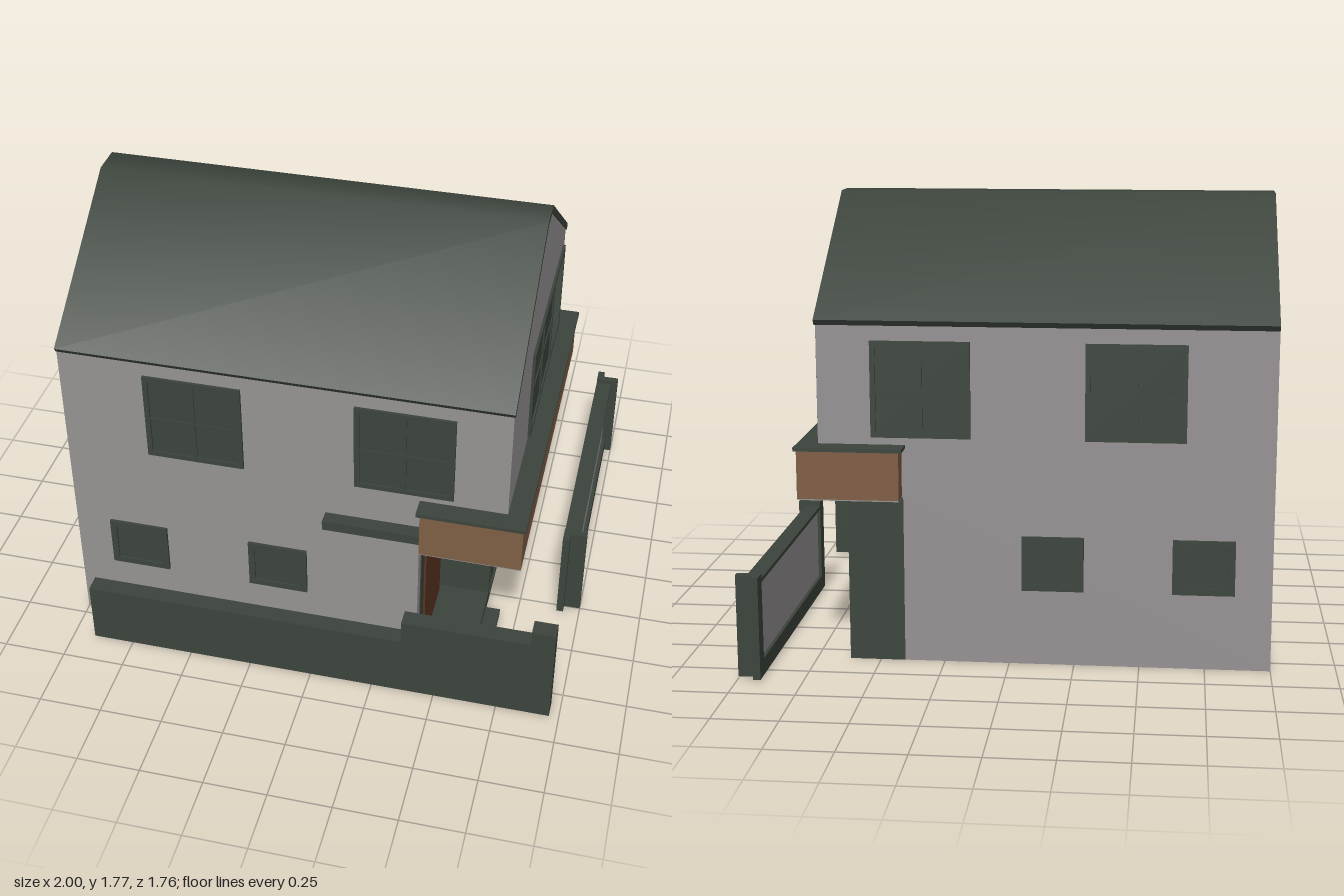
import * as THREE from 'three';
import { toCreasedNormals } from 'three/addons/utils/BufferGeometryUtils.js';

const material = (name, color, side = THREE.FrontSide) => {
  const m = new THREE.MeshStandardMaterial({ color, side });
  m.name = name;
  return m;
};

export function createModel() {
  const house = new THREE.Group();
  house.name = 'house';
  const render = material('greyRender', 0x969293, THREE.DoubleSide);
  const slate = material('darkSlate', 0x3c443c, THREE.DoubleSide);
  const timber = material('timberCladding', 0x7f5e44);
  const doorBrown = material('doorBrown', 0x5b3422);

  const add = (parent, name, geometry, mat) => {
    const mesh = new THREE.Mesh(geometry, mat);
    mesh.name = name;
    parent.add(mesh);
    return mesh;
  };
  // Box given by its limits on each axis
  const box = (parent, name, mat, x0, x1, y0, y1, z0, z1) => {
    const mesh = add(parent, name, new THREE.BoxGeometry(x1 - x0, y1 - y0, z1 - z0), mat);
    mesh.position.set((x0 + x1) / 2, (y0 + y1) / 2, (z0 + z1) / 2);
    return mesh;
  };
  const polygon = (pts) => new THREE.Shape(pts.map(([x, y]) => new THREE.Vector2(x, y)));

  const FRONT = 0.71, BACK = -0.59, LEFT = 0.73, RIGHT = -1, RECESS = 0.405, BAY = 0.62;

  // Long walls, stepped in below the overhanging upper floor
  const longWall = new THREE.ShapeGeometry(polygon([
    [RIGHT, 0], [RECESS, 0], [RECESS, 0.65], [LEFT, 0.65], [LEFT, 1.325], [RIGHT, 1.325]]));
  add(house, 'frontWall', longWall, render).position.z = FRONT;
  const backWall = add(house, 'backWall', longWall.clone().scale(-1, 1, 1), render);
  backWall.position.z = BACK;
  backWall.rotation.y = Math.PI;

  // Gable walls: shape x stands for -z
  const gable = (name, x, bottom) => {
    const mesh = add(house, name, new THREE.ShapeGeometry(polygon([
      [-FRONT, bottom], [-BACK, bottom], [-BACK, 1.325], [-0.005, 1.745], [-0.115, 1.745], [-FRONT, 1.325]])), render);
    mesh.rotation.y = Math.PI / 2;
    mesh.position.x = x;
  };
  gable('leftGable', LEFT, 0.65);
  gable('rightGable', RIGHT + 0.002, 0);

  // Roof shell with a softened ridge
  const roofShape = polygon([
    [-0.728, 1.333], [-0.122, 1.77], [0.002, 1.77], [0.608, 1.333], [0.594, 1.312],
    [0.01, 1.73], [-0.025, 1.748], [-0.095, 1.748], [-0.13, 1.73], [-0.714, 1.312]]);
  const roofGeometry = new THREE.ExtrudeGeometry(roofShape, { depth: 1.735, bevelEnabled: false });
  const roof = add(house, 'roof', toCreasedNormals(roofGeometry, 0.7), slate);
  roof.rotation.y = Math.PI / 2;
  roof.position.x = RIGHT;

  // Window facing local +z: frame, glazing and bars at the given offsets
  const makeWindow = (name, w, h, { cols = [], rows = [], barRange = w, frame = 0.018, louvres = null }) => {
    const g = new THREE.Group();
    g.name = name;
    const d = 0.011;
    box(g, 'pane', slate, -w / 2, w / 2, -h / 2, h / 2, -0.003, 0.003);
    for (const s of [-1, 1]) {
      const x = s * (w - frame) / 2, y = s * (h - frame) / 2;
      box(g, 'frameSide', slate, x - frame / 2, x + frame / 2, -h / 2, h / 2, -d, d);
      box(g, 'frameRail', slate, -w / 2, w / 2, y - frame / 2, y + frame / 2, -d, d);
    }
    for (const x of cols) box(g, 'mullion', slate, x - 0.008, x + 0.008, -h / 2, h / 2, -0.009, 0.009);
    for (const y of rows) box(g, 'glazingBar', slate, -w / 2, -w / 2 + barRange, y - 0.007, y + 0.007, -0.008, 0.008);
    if (louvres) {
      const [x0, x1, y0, y1] = louvres;
      for (let y = y0; y < y1; y += 0.022) {
        box(g, 'louvre', slate, x0, x1, y, y + 0.012, 0, 0.008).rotation.x = 0.25;
      }
    }
    house.add(g);
    return g;
  };

  // Matching windows on the front and back walls
  for (const [side, z, turn] of [['front', FRONT, 0], ['back', BACK, Math.PI]]) {
    for (const x of [-0.477, 0.335]) {
      const win = makeWindow(side + 'UpperWindow', 0.38, 0.37, { cols: [0], rows: [-0.012], frame: 0.02 });
      win.position.set(x, 1.07, z);
      win.rotation.y = turn;
    }
    for (const x of [-0.74, -0.167]) {
      const win = makeWindow(side + 'LowerWindow', 0.237, 0.213, { frame: 0.025 });
      win.position.set(x, 0.403, z);
      win.rotation.y = turn;
    }
  }

  // Wide gable window with a louvred end
  const wide = makeWindow('gableWindow', 0.805, 0.395, {
    cols: [-0.13, 0.13], rows: [0.008], barRange: 0.53, louvres: [0.14, 0.385, -0.17, 0.17] });
  wide.position.set(LEFT, 1.072, -0.138);
  wide.rotation.y = Math.PI / 2;

  // Ground floor bay under the canopy
  const bayEnd = new THREE.PlaneGeometry(BAY - RECESS, 0.65);
  for (const [name, z] of [['bayFrontWall', 0.3], ['bayBackWall', BACK - 0.001]]) {
    add(house, name, bayEnd, slate).position.set((BAY + RECESS) / 2, 0.325, z);
  }
  const bay = makeWindow('bayWindow', 0.89, 0.65, {
    cols: [-0.385, -0.135, 0.125], rows: [0.225], barRange: 0.57, louvres: [0.135, 0.39, -0.28, 0.3] });
  bay.position.set(BAY - 0.011, 0.325, -0.145);
  bay.rotation.y = Math.PI / 2;

  // Recessed entrance
  box(house, 'entranceWall', slate, RECESS - 0.004, RECESS + 0.004, 0, 0.65, 0.3, FRONT);
  box(house, 'door', doorBrown, RECESS, RECESS + 0.012, 0.055, 0.52, 0.33, 0.65);
  box(house, 'doorFanlight', slate, RECESS, RECESS + 0.012, 0.53, 0.61, 0.345, 0.64);
  box(house, 'doorStep', slate, RECESS, BAY, 0.003, 0.055, 0.3, FRONT);
  box(house, 'lowerStep', slate, BAY, BAY + 0.06, 0.003, 0.027, 0.36, 0.655);

  // Shallow front projection beside the entrance
  box(house, 'porchBlock', render, 0.042, RECESS + 0.001, 0, 0.685, FRONT - 0.01, 0.757);
  box(house, 'porchRoof', slate, 0.03, 0.41, 0.685, 0.725, FRONT - 0.01, 0.766);

  // Timber canopy with a rendered soffit
  box(house, 'canopy', timber, 0.41, 0.8, 0.655, 0.842, -0.663, 0.782);
  box(house, 'canopySoffit', render, 0.412, 0.798, 0.65, 0.656, -0.661, 0.78);
  box(house, 'canopyRoof', slate, 0.396, 0.81, 0.842, 0.856, -0.675, 0.79);

  // Stepped garden wall, one outline
  const gardenShape = polygon([
    [-0.91, 0.008], [0.962, 0.008], [0.962, 0.437], [0.87, 0.437],
    [0.87, 0.373], [0.368, 0.373], [0.368, 0.272], [-0.91, 0.272]]);
  add(house, 'gardenWall', new THREE.ExtrudeGeometry(gardenShape, { depth: 0.068, bevelEnabled: false }), slate)
    .position.z = 0.81;

  // Side fence with panel, rails and T-shaped end posts
  const fence = new THREE.Group();
  fence.name = 'sideFence';
  house.add(fence);
  box(fence, 'fencePanel', render, 0.92, 0.957, 0.07, 0.372, -0.82, 0.24);
  box(fence, 'fenceBase', slate, 0.907, 0.972, 0.008, 0.072, -0.82, 0.24);
  box(fence, 'fenceCap', slate, 0.907, 0.972, 0.372, 0.387, -0.82, 0.24);
  for (const [z, s] of [[0.23, 1], [-0.82, -1]]) {
    const span = (a, b) => (s > 0 ? [z + a, z + b] : [z - b, z - a]);
    box(fence, 'postFlange', slate, 0.907, 1, 0.008, 0.405, ...span(0, 0.028));
    box(fence, 'postWeb', slate, 0.907, 0.935, 0.008, 0.405, ...span(0.028, 0.062));
  }
  return house;
}
